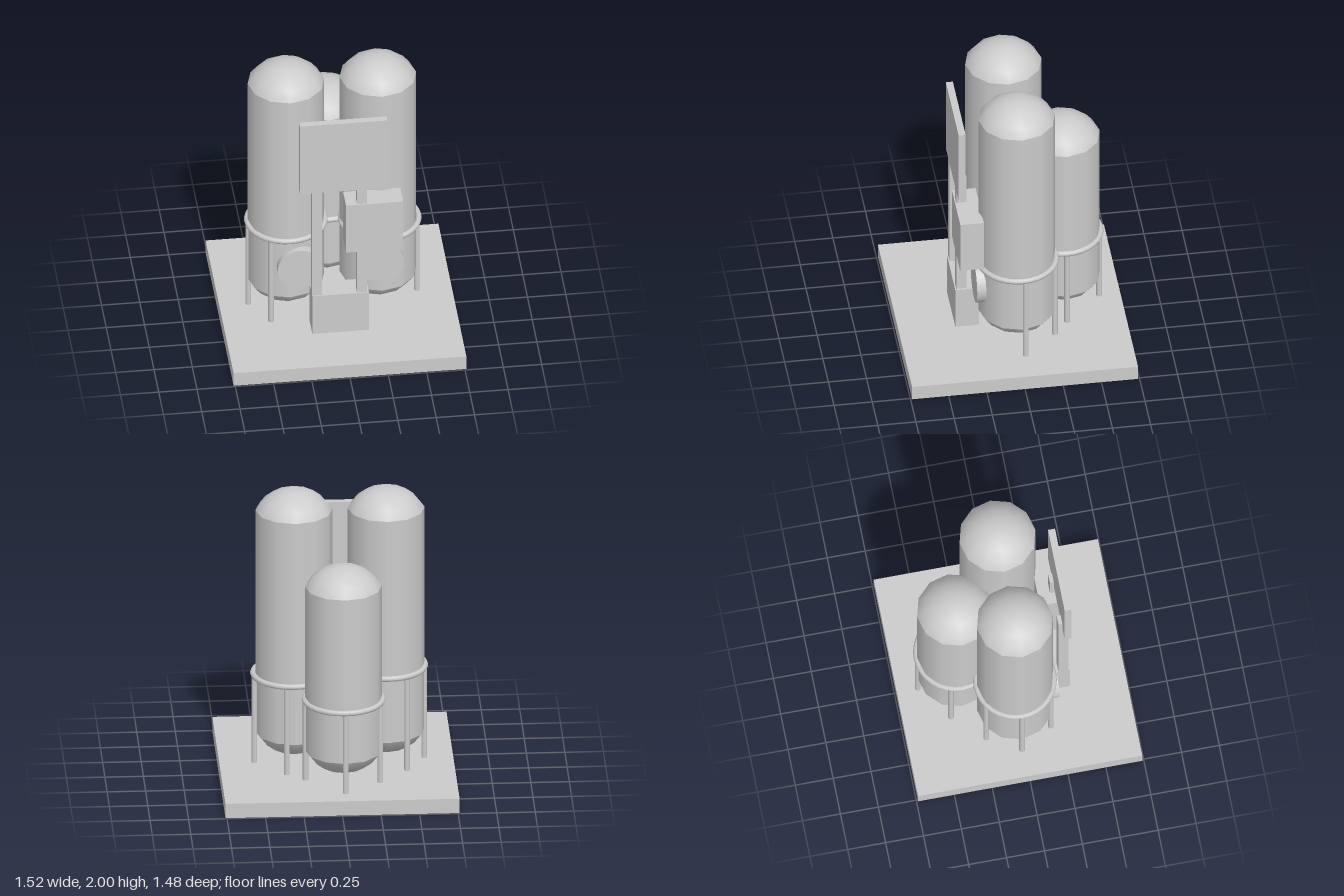
import * as THREE from 'three';

const material = new THREE.MeshStandardMaterial({ color: 0xcccccc });

function add(parent, name, geometry, x, y, z) {
  const mesh = new THREE.Mesh(geometry, material);
  mesh.name = name;
  mesh.position.set(x, y, z);
  parent.add(mesh);
  return mesh;
}

// Box given by its extents along each axis
function addBox(parent, name, [x0, x1], [y0, y1], [z0, z1]) {
  return add(parent, name, new THREE.BoxGeometry(x1 - x0, y1 - y0, z1 - z0),
    (x0 + x1) / 2, (y0 + y1) / 2, (z0 + z1) / 2);
}

const BASE_TOP = 0.1;
const RADIUS = 0.25;
const SIDES = 12;
const CAP_ANGLE = Math.PI / 3;
const CAP_RADIUS = RADIUS / Math.sin(CAP_ANGLE);
const CAP_DROP = CAP_RADIUS * Math.cos(CAP_ANGLE);

// Tank with shallow domes, a support ring and legs standing under the ring
function addTank(parent, { name, x, z, bottom, top, ringX, ringY, legs }) {
  const tank = new THREE.Group();
  tank.name = name;
  parent.add(tank);

  const shell = new THREE.CylinderGeometry(RADIUS, RADIUS, top - bottom, SIDES, 1, true);
  add(tank, 'tankShell', shell, x, (bottom + top) / 2, z);

  // The sphere is turned a quarter so its rim meets the shell's corners
  const topCap = new THREE.SphereGeometry(CAP_RADIUS, SIDES, 4, 0, Math.PI * 2, 0, CAP_ANGLE);
  add(tank, 'topDome', topCap, x, top - CAP_DROP, z);
  const lowCap = new THREE.SphereGeometry(CAP_RADIUS, SIDES, 4, 0, Math.PI * 2, Math.PI - CAP_ANGLE, CAP_ANGLE);
  add(tank, 'bottomDome', lowCap, x, bottom + CAP_DROP, z);

  const ring = new THREE.TorusGeometry(0.253, 0.019, 8, 32).rotateX(Math.PI / 2);
  add(tank, 'supportRing', ring, ringX, ringY, z);

  const legHeight = ringY - BASE_TOP;
  for (const degrees of legs) {
    const a = THREE.MathUtils.degToRad(degrees);
    add(tank, 'leg', new THREE.CylinderGeometry(0.019, 0.019, legHeight, 10),
      ringX + Math.cos(a) * 0.246, BASE_TOP + legHeight / 2, z + Math.sin(a) * 0.246);
  }
}

export function createModel() {
  const model = new THREE.Group();
  model.name = 'tankStation';

  addBox(model, 'basePlate', [-0.76, 0.76], [0, BASE_TOP], [-0.74, 0.74]);

  // Two tall tanks in front, a shorter one behind
  addTank(model, {
    name: 'rightTank', x: -0.325, z: -0.017, bottom: 0.305, top: 1.855,
    ringX: -0.325, ringY: 0.755, legs: [120, 180, 240],
  });
  addTank(model, {
    name: 'leftTank', x: 0.275, z: -0.017, bottom: 0.305, top: 1.855,
    ringX: 0.287, ringY: 0.713, legs: [-5, -79],
  });
  addTank(model, {
    name: 'backTank', x: -0.028, z: -0.355, bottom: 0.305, top: 1.45,
    ringX: -0.028, ringY: 0.66, legs: [0, -90, 197],
  });

  // Round hatches on the front tanks
  for (const side of [-1, 1]) {
    const hatch = new THREE.CylinderGeometry(0.146, 0.146, 0.06, 32).rotateX(Math.PI / 2);
    add(model, 'hatch', hatch, side * 0.267, 0.545, 0.232);
  }

  // Control stand: foot, posts, display panel and side cabinet
  const stand = new THREE.Group();
  stand.name = 'controlStand';
  model.add(stand);
  addBox(stand, 'standFoot', [-0.2, 0.17], [BASE_TOP, 0.4], [0.215, 0.37]);
  addBox(stand, 'post', [-0.2, -0.137], [0.4, 1.3], [0.295, 0.362]);
  addBox(stand, 'post', [0.093, 0.157], [0.4, 1.3], [0.295, 0.362]);
  addBox(stand, 'panel', [-0.28, 0.29], [1.22, 1.76], [0.32, 0.366]);
  addBox(stand, 'cabinet', [0.02, 0.393], [0.73, 1.105], [0.215, 0.37]);

  return model;
}
